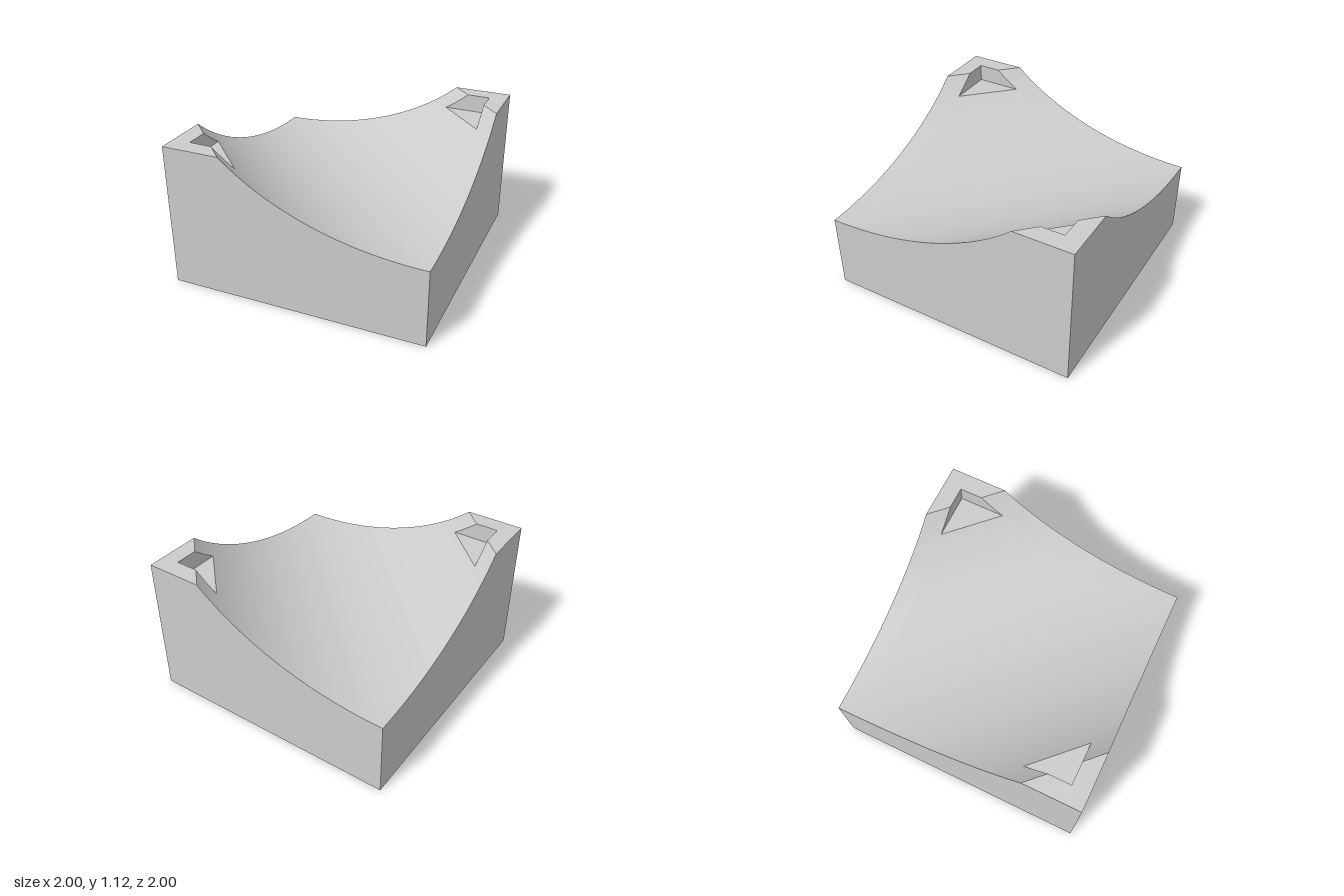
import * as THREE from 'three';
import { toCreasedNormals } from 'three/addons/utils/BufferGeometryUtils.js';

const HEIGHT = 1.12;
const RADIUS = Math.SQRT2;      // groove radius
const GROOVE_BOTTOM = 0.602;
const CORNER = Math.SQRT2;      // block corner, measured along the diagonal
const POCKET_BACK = 0.862 * Math.SQRT2; // inner corner of the triangular pocket
const POCKET_FRONT = 0.966;     // where the pocket floor meets the groove

const grooveY = (t) => GROOVE_BOTTOM + RADIUS - Math.sqrt(RADIUS * RADIUS - t * t);
const POCKET_FLOOR = grooveY(POCKET_FRONT);
const rise = HEIGHT - GROOVE_BOTTOM;
const RIM = Math.sqrt(2 * RADIUS * rise - rise * rise); // where the groove reaches the top

// Cross-section at distance t across the groove; u runs along the groove
function section(t, solid) {
  const d = Math.abs(t);
  const w = Math.max(0, CORNER - d);
  const h = Math.max(0, POCKET_BACK - d);
  const top = d >= RIM ? HEIGHT : grooveY(d);
  const floor = solid ? top : Math.min(top, POCKET_FLOOR);
  const outline = [[-w, 0], [-w, top], [-h, top], [-h, floor], [h, floor], [h, top], [w, top], [w, 0]];
  return outline.map(([u, y]) => new THREE.Vector3((u + t) / Math.SQRT2, y, (u - t) / Math.SQRT2));
}

function blockGeometry() {
  // Half of the sections, from the groove's centre line out to the high corner
  const half = [];
  const addArc = (from, to, n) => {
    const a = Math.asin(from / RADIUS), b = Math.asin(to / RADIUS);
    for (let i = 1; i <= n; i++) half.push([RADIUS * Math.sin(a + (b - a) * i / n), false]);
  };
  addArc(0, POCKET_FRONT, 32);
  addArc(POCKET_FRONT, RIM, 6);
  half.push([POCKET_BACK, false], [POCKET_BACK, true], [CORNER, true]);

  const mirrored = half.map(([t, solid]) => [-t, solid]).reverse();
  const loops = [...mirrored, [0, false], ...half].map(([t, solid]) => section(t, solid));

  // Join neighbouring sections, leaving out collapsed triangles
  const positions = [];
  const tri = new THREE.Triangle();
  const addTriangle = (a, b, c) => {
    if (tri.set(a, b, c).getArea() < 1e-7) return;
    for (const p of [a, b, c]) positions.push(p.x, p.y, p.z);
  };
  for (let i = 0; i < loops.length - 1; i++) {
    const p = loops[i], q = loops[i + 1];
    for (let j = 0; j < p.length; j++) {
      const k = (j + 1) % p.length;
      addTriangle(p[j], p[k], q[j]);
      addTriangle(p[k], q[k], q[j]);
    }
  }
  const geometry = new THREE.BufferGeometry();
  geometry.setAttribute('position', new THREE.Float32BufferAttribute(positions, 3));
  return toCreasedNormals(geometry, 0.3);
}

export function createModel() {
  const group = new THREE.Group();
  group.name = 'groovedBlock';
  // Square block with a diagonal round groove and a pocket in each high corner
  const block = new THREE.Mesh(blockGeometry(), new THREE.MeshStandardMaterial({ color: 0xcccccc }));
  block.name = 'block';
  group.add(block);
  return group;
}
